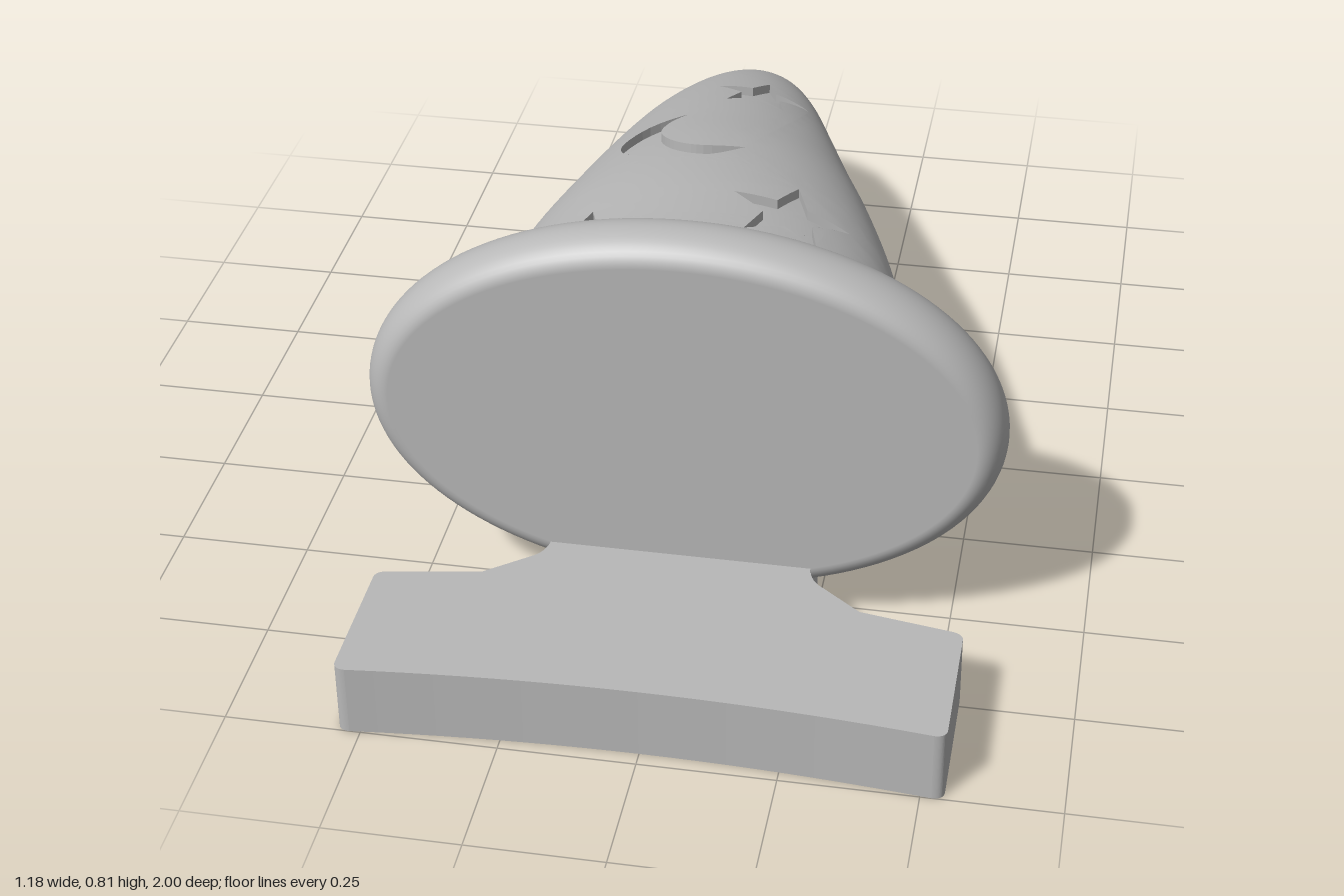
import * as THREE from 'three';
import { mergeVertices } from 'three/addons/utils/BufferGeometryUtils.js';
import { ParametricGeometry } from 'three/addons/geometries/ParametricGeometry.js';

const Z0 = 0.46, LEN = 1.46, DEPTH = 0.02;
const zToV = (z) => Math.asin(Math.min(1, (Z0 - z) / LEN)) * 2 / Math.PI;

// Cone outline stations: z, left x, right x, bottom y, top y
const stations = [
  [0.46, -0.478, 0.444, 0.153, 0.693], [0.3, -0.45, 0.4, 0.165, 0.665],
  [0, -0.41, 0.32, 0.17, 0.635], [-0.2, -0.375, 0.255, 0.185, 0.6],
  [-0.4, -0.345, 0.185, 0.195, 0.55], [-0.6, -0.31, 0.12, 0.2, 0.495],
  [-0.8, -0.255, 0.055, 0.2, 0.43], [-0.9, -0.21, 0.01, 0.215, 0.385],
  [-0.96, -0.165, -0.045, 0.243, 0.345], [-1, -0.12, -0.12, 0.292, 0.292],
];
const outline = new THREE.CubicInterpolant(
  new Float32Array(stations.map((s) => zToV(s[0]))),
  new Float32Array(stations.flatMap((s) => s.slice(1))), 4);

function section(v) {
  const [l, r, b, t] = outline.evaluate(v);
  return { cx: (l + r) / 2, a: (r - l) / 2, cy: (b + t) / 2, b: (t - b) / 2 };
}

// The cone is laid out flat as (angle, length) with these scales
const SU = 0.35, SV = 1.6;
function toFlat(p) {
  const v = zToV(p.y), s = section(v);
  return new THREE.Vector2(Math.acos((p.x - s.cx) / s.a) * SU, v * SV);
}
function toCone(q, drop = 0) {
  const v = q.y / SV, s = section(v), th = q.x / SU;
  return [s.cx + s.a * Math.cos(th), s.cy + s.b * Math.sin(th) - drop,
    Z0 - LEN * Math.sin(v * Math.PI / 2)];
}

// Triangulate a flat region, split edges until short, and wrap it on the cone
function wrap(contour, holes, drop) {
  const pts = [...contour, ...holes.flat()], out = [], L = 0.04;
  const split = (a, b, c) => {
    const ab = a.distanceTo(b), bc = b.distanceTo(c), ca = c.distanceTo(a);
    const m = Math.max(ab, bc, ca);
    if (m <= L) { out.push(...toCone(a, drop), ...toCone(b, drop), ...toCone(c, drop)); return; }
    if (m === bc) return split(b, c, a);
    if (m === ca) return split(c, a, b);
    const mid = a.clone().add(b).multiplyScalar(0.5);
    split(a, mid, c);
    split(mid, b, c);
  };
  for (const [i, j, k] of THREE.ShapeUtils.triangulateShape(contour, holes)) {
    const t = [pts[i], pts[j], pts[k]];
    if (THREE.ShapeUtils.area(t) > 0) t.reverse();
    split(...t);
  }
  const g = mergeVertices(fromPositions(out));
  g.computeVertexNormals();
  return g;
}

function fromPositions(list) {
  const g = new THREE.BufferGeometry();
  g.setAttribute('position', new THREE.Float32BufferAttribute(list, 3));
  return g;
}

// Five-pointed star in plan (x, z), its tip towards the cone's point
function star(cx, cz, rx, rz) {
  const corner = (i) => {
    const a = i * Math.PI / 5, k = i % 2 ? 0.42 : 1;
    return new THREE.Vector2(cx + rx * k * Math.sin(a), cz - rz * k * Math.cos(a));
  };
  const pts = [];
  for (let i = 0; i < 10; i++)
    for (let k = 0; k < 5; k++) pts.push(corner(i).lerp(corner(i + 1), k / 5));
  return pts;
}

function moon() {
  const arc = (list) => new THREE.SplineCurve(list.map((p) => new THREE.Vector2(...p)))
    .getPoints(28).slice(0, -1);
  return [
    ...arc([[-0.155, -0.363], [-0.232, -0.295], [-0.263, -0.21], [-0.225, -0.115],
      [-0.13, -0.067], [-0.05, -0.09], [0, -0.148]]),
    ...arc([[0, -0.148], [-0.09, -0.135], [-0.15, -0.17], [-0.187, -0.24],
      [-0.183, -0.31], [-0.155, -0.363]]),
  ];
}

// Upright walls of an engraving, facing into it
function wallGeometry(flat) {
  const out = [];
  flat.forEach((p, i) => {
    const q = flat[(i + 1) % flat.length];
    const a = toCone(p), b = toCone(q), aB = toCone(p, DEPTH), bB = toCone(q, DEPTH);
    out.push(...a, ...bB, ...b, ...a, ...aB, ...bB);
  });
  const g = fromPositions(out);
  g.computeVertexNormals();
  return g;
}

function baseShape(withHoles) {
  const s = new THREE.Shape();
  s.moveTo(-0.52, -1);
  s.quadraticCurveTo(0, -0.945, 0.52, -1);
  s.quadraticCurveTo(0.542, -1, 0.542, -0.98);
  s.lineTo(0.542, -0.735);
  s.quadraticCurveTo(0.542, -0.718, 0.52, -0.714);
  s.lineTo(0.35, -0.686);
  s.lineTo(0.265, -0.62);
  s.quadraticCurveTo(0.245, -0.6, 0.245, -0.57);
  s.lineTo(0.245, -0.48);
  s.lineTo(-0.245, -0.48);
  s.lineTo(-0.245, -0.57);
  s.quadraticCurveTo(-0.245, -0.6, -0.265, -0.62);
  s.lineTo(-0.35, -0.686);
  s.lineTo(-0.52, -0.714);
  s.quadraticCurveTo(-0.542, -0.718, -0.542, -0.735);
  s.lineTo(-0.542, -0.98);
  s.quadraticCurveTo(-0.542, -1, -0.52, -1);
  if (withHoles) for (const x of [-0.37, 0, 0.37])
    s.holes.push(new THREE.Path().absarc(x, -0.865, 0.093, 0, Math.PI * 2, true));
  return s;
}

export function createModel() {
  const model = new THREE.Group();
  const grey = new THREE.MeshStandardMaterial({ color: 0xb8b8b8 });
  grey.name = 'plain grey';
  const add = (name, geometry, parent = model) => {
    const m = new THREE.Mesh(geometry, grey);
    m.name = name;
    parent.add(m);
    return m;
  };

  // Hat cone with engraved stars and moon
  const marks = {
    starNearTip: star(-0.037, -0.585, 0.103, 0.11),
    starLarge: star(0.13, 0.126, 0.117, 0.131),
    starSmall: star(-0.24, 0.242, 0.067, 0.078),
    moon: moon(),
  };
  const holes = [];
  for (const [name, pts] of Object.entries(marks)) {
    if (THREE.ShapeUtils.area(pts) < 0) pts.reverse();
    const flat = pts.map(toFlat);
    holes.push(flat);
    const engraving = new THREE.Group();
    engraving.name = name;
    model.add(engraving);
    add(name + 'Walls', wallGeometry(flat), engraving);
    add(name + 'Floor', wrap(flat, [], DEPTH), engraving);
  }
  const u0 = -Math.PI / 2 * SU, u1 = Math.PI * 1.5 * SU;
  const sheet = [[u0, 0], [u1, 0], [u1, SV], [u0, SV]].map((p) => new THREE.Vector2(...p));
  add('hatCone', wrap(sheet, holes, 0));

  // Oval brim: rounded rim and two flat faces
  const RX = 0.59, RY = 0.375, CY = 0.43, CZ = 0.505, HALF = 0.07, INSET = 0.05;
  add('brimRim', new ParametricGeometry((u, v, target) => {
    const a = u * Math.PI * 2, f = (v - 0.5) * Math.PI, d = INSET * (1 - Math.cos(f));
    target.set((RX - d) * Math.cos(a), CY + (RY - d) * Math.sin(a), CZ + HALF * Math.sin(f));
  }, 128, 20));
  for (const [name, side] of [['brimFront', 1], ['brimBack', -1]]) {
    const face = add(name, new THREE.CircleGeometry(1, 128).scale(RX - INSET, RY - INSET, 1));
    face.position.set(0, CY, CZ + side * HALF);
    if (side < 0) face.rotation.y = Math.PI;
  }

  // Mounting plate: lower layer with three blind holes, solid upper layer
  for (const [name, y, h, open] of [['plateLower', 0, 0.11, true], ['plateUpper', 0.11, 0.03, false]]) {
    const g = new THREE.ExtrudeGeometry(baseShape(open), { depth: h, bevelEnabled: false, curveSegments: 20 });
    add(name, g.rotateX(-Math.PI / 2)).position.y = y;
  }
  return model;
}
